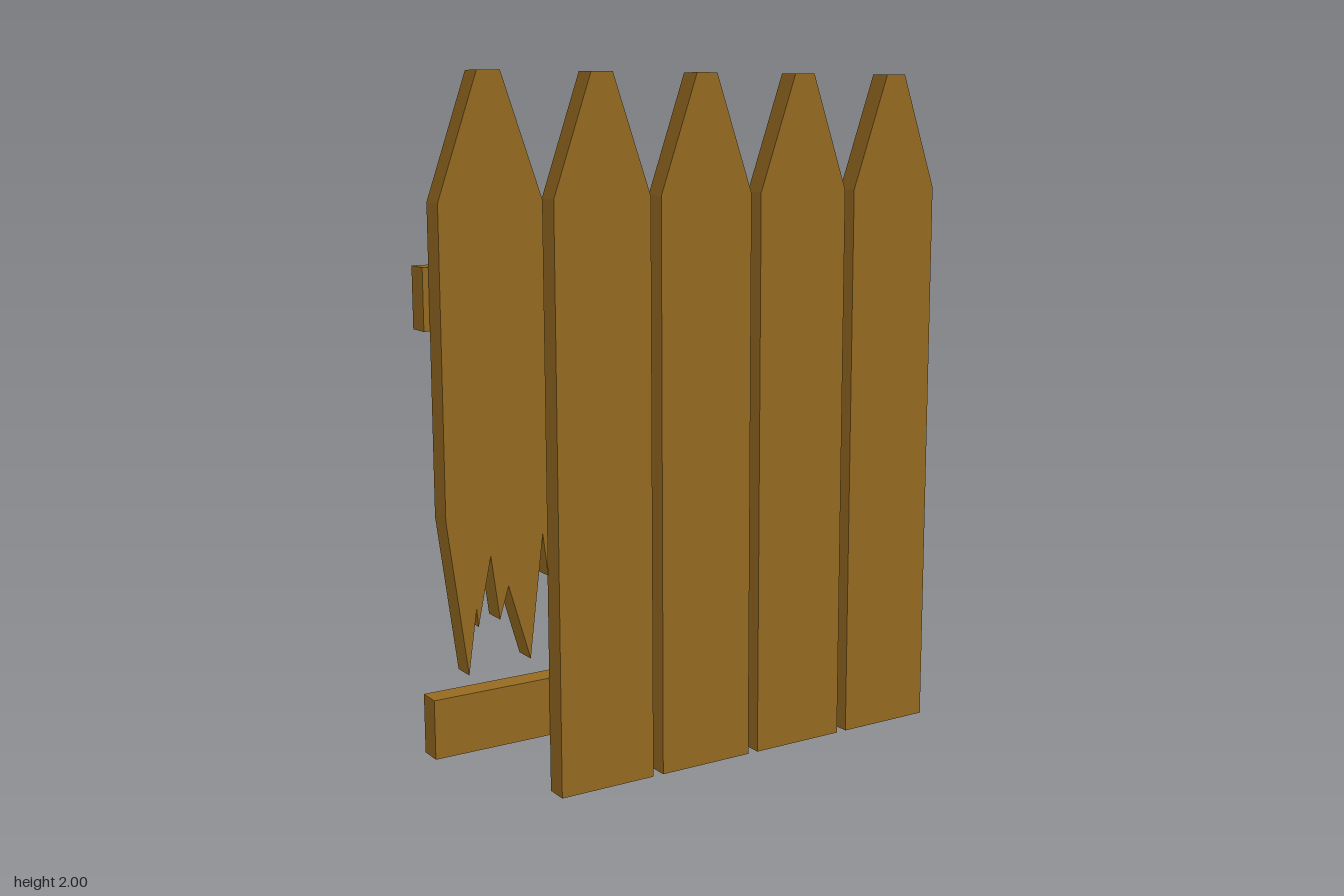
import * as THREE from 'three';

const HALF = 0.15, TIP = 0.033, SHOULDER = 1.667, TOP = 2, DEPTH = 0.067, PITCH = 0.3333;

// Lower edge of a plank, left to right, relative to the plank centre
const squareEnd = [[-HALF, 0], [HALF, 0]];
const brokenEnd = [
  [-HALF, 0.84], [-0.093, 0.41], [-0.067, 0.59], [-0.062, 0.54], [-0.022, 0.73],
  [0.002, 0.55], [0.029, 0.64], [0.092, 0.425], [0.135, 0.77], [HALF, 0.65],
];

// Pointed board with a blunt tip
function plankGeometry(lowerEdge) {
  const outline = [...lowerEdge, [HALF, SHOULDER], [TIP, TOP], [-TIP, TOP], [-HALF, SHOULDER]];
  const shape = new THREE.Shape(outline.map(([x, y]) => new THREE.Vector2(x, y)));
  return new THREE.ExtrudeGeometry(shape, { depth: DEPTH, bevelEnabled: false });
}

export function createModel() {
  const fence = new THREE.Group();
  fence.name = 'picketFence';
  const wood = new THREE.MeshStandardMaterial({ color: 0x966b21, flatShading: true });

  const add = (name, geometry, x, y, z) => {
    const mesh = new THREE.Mesh(geometry, wood);
    mesh.name = name;
    mesh.position.set(x, y, z);
    fence.add(mesh);
  };

  // Five planks, the first one snapped off near the bottom
  const whole = plankGeometry(squareEnd);
  add('brokenPlank', plankGeometry(brokenEnd), -2 * PITCH, 0, 0);
  for (let i = -1; i <= 2; i++) add('plank', whole, i * PITCH, 0, 0);

  // Two rails across the back
  const rail = new THREE.BoxGeometry(1.667, 0.167, DEPTH);
  add('lowerRail', rail, 0, 0.25, -DEPTH / 2);
  add('upperRail', rail, 0, 1.417, -DEPTH / 2);

  return fence;
}
